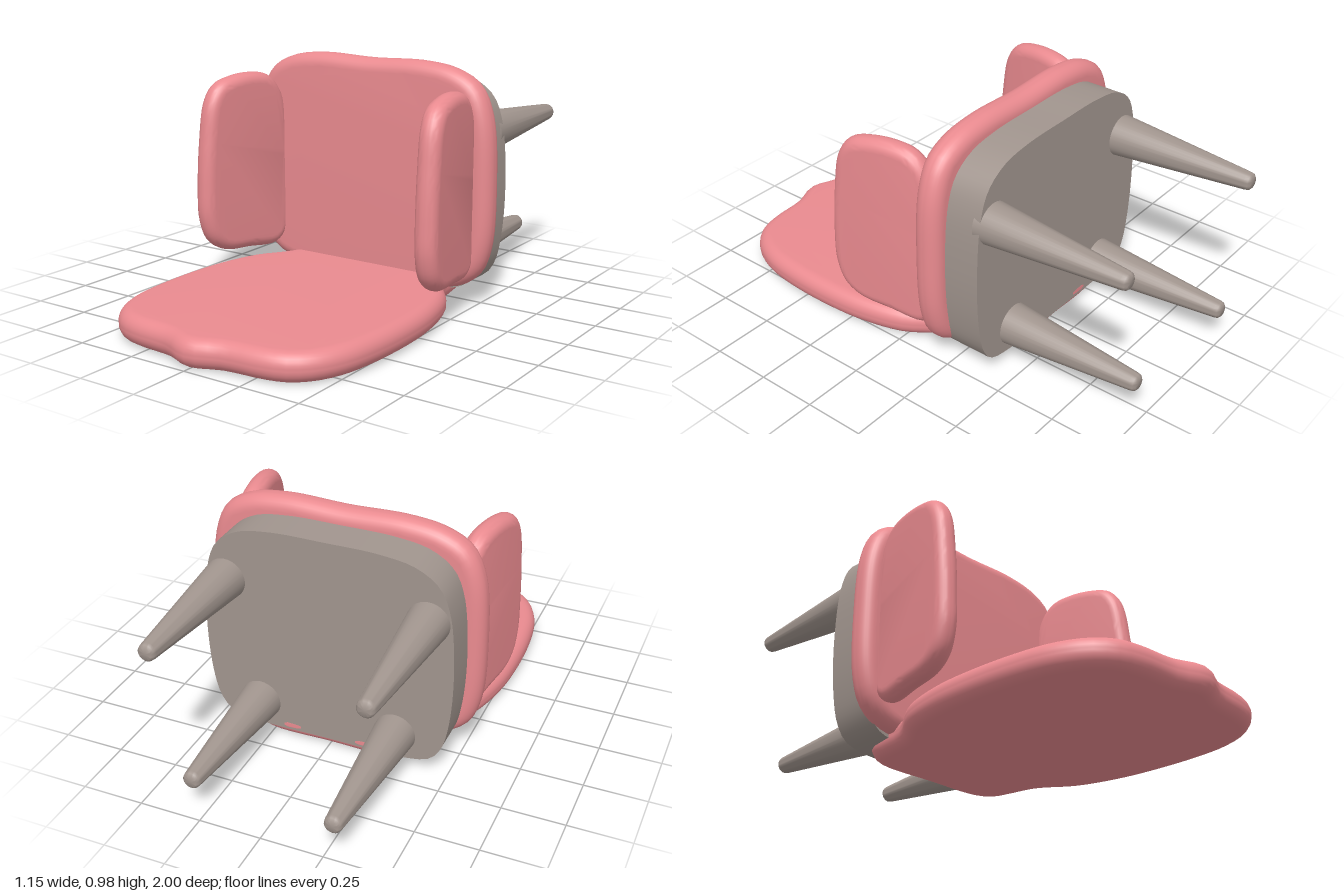
import * as THREE from 'three';
import { toCreasedNormals } from 'three/addons/utils/BufferGeometryUtils.js';

const pink = new THREE.MeshStandardMaterial({ color: 0xe98a8f });
const grey = new THREE.MeshStandardMaterial({ color: 0xa1958e });

// Smooth closed shape through a few points
function smoothShape(points) {
  const curve = new THREE.CatmullRomCurve3(points.map(([x, y]) => new THREE.Vector3(x, y, 0)), true);
  const outline = curve.getSpacedPoints(96).slice(0, -1);
  return new THREE.Shape(outline.map((p) => new THREE.Vector2(p.x, p.y)));
}

// Half outline (x >= 0, first and last point on the axis) completed by its mirror
function mirrored(half) {
  const other = half.slice(1, -1).reverse().map(([x, y]) => [-x, y]);
  return [...half, ...other];
}

// Slab centred on z = 0 with edges rounded by r
function slab(points, thickness, r) {
  const geometry = new THREE.ExtrudeGeometry(smoothShape(points), {
    depth: thickness - 2 * r,
    bevelEnabled: r > 0,
    bevelThickness: r,
    bevelSize: r,
    bevelOffset: -r,
    bevelSegments: 7,
  });
  geometry.translate(0, 0, r - thickness / 2);
  return toCreasedNormals(geometry, 0.7);
}

function add(parent, name, geometry, material) {
  const mesh = new THREE.Mesh(geometry, material);
  mesh.name = name;
  parent.add(mesh);
  return mesh;
}

export function createModel() {
  const chair = new THREE.Group();
  chair.name = 'armchairLyingOnItsBack';

  // Seat cushion, standing upright
  const seat = mirrored([
    [0, 0.975], [0.25, 0.98], [0.4, 0.957], [0.5, 0.9], [0.555, 0.78], [0.575, 0.5],
    [0.562, 0.25], [0.52, 0.14], [0.43, 0.075], [0.25, 0.055], [0, 0.05],
  ]);
  add(chair, 'seatCushion', slab(seat, 0.115, 0.053), pink).position.z = -0.202;

  // Frame under the seat
  const frame = mirrored([
    [0, 0.92], [0.22, 0.917], [0.36, 0.892], [0.45, 0.83], [0.493, 0.73], [0.515, 0.48],
    [0.503, 0.25], [0.475, 0.13], [0.43, 0.07], [0.34, 0.045], [0, 0.04],
  ]);
  add(chair, 'seatFrame', slab(frame, 0.19, 0), grey).position.z = -0.315;

  // Backrest lying flat, with a crest at its far end
  const backrest = mirrored([
    [0, 0.998], [0.05, 0.988], [0.11, 0.96], [0.17, 0.95], [0.28, 0.942], [0.38, 0.915],
    [0.46, 0.845], [0.515, 0.73], [0.54, 0.58], [0.546, 0.36], [0.53, 0.18], [0.48, 0],
    [0.39, -0.14], [0.37, -0.25], [0.345, -0.35], [0.27, -0.4], [0, -0.407],
  ]);
  const rest = add(chair, 'backrest', slab(backrest, 0.115, 0.053), pink);
  rest.geometry.rotateX(Math.PI / 2);
  rest.position.y = 0.0575;

  // Armrests, spreading away from the seat
  const arm = [
    [0.15, 0.9], [0.25, 0.895], [0.34, 0.868], [0.39, 0.8], [0.42, 0.63], [0.433, 0.45],
    [0.43, 0.31], [0.395, 0.215], [0.32, 0.163], [0.18, 0.147], [0.03, 0.14], [-0.03, 0.2],
    [-0.035, 0.5], [-0.025, 0.75], [0.02, 0.845], [0.07, 0.885],
  ];
  const armGeometry = slab(arm, 0.092, 0.044).rotateY(-Math.PI / 2);
  for (const [side, name] of [[1, 'leftArmrest'], [-1, 'rightArmrest']]) {
    const mesh = add(chair, name, armGeometry, pink);
    mesh.position.set(side * 0.46, 0, -0.15);
    mesh.rotation.y = side * 0.17;
  }

  // Tapered legs with rounded tips, pointing backwards
  const legs = [
    ['frontLeftLeg', 0.42, 0.68, -0.99], ['frontRightLeg', -0.41, 0.68, -1],
    ['rearLeftLeg', 0.29, 0.152, -0.98], ['rearRightLeg', -0.285, 0.15, -1],
  ];
  for (const [name, x, y, tip] of legs) {
    const length = -0.38 - tip;
    const profile = [
      [0, 0], [0.087, 0], [0.036, length - 0.022], [0.033, length - 0.008],
      [0.024, length], [0, length],
    ].map(([r, h]) => new THREE.Vector2(r, h));
    const geometry = toCreasedNormals(new THREE.LatheGeometry(profile, 32), 0.9);
    const leg = add(chair, name, geometry, grey);
    leg.rotation.x = -Math.PI / 2;
    leg.position.set(x, y, -0.38);
  }

  return chair;
}
